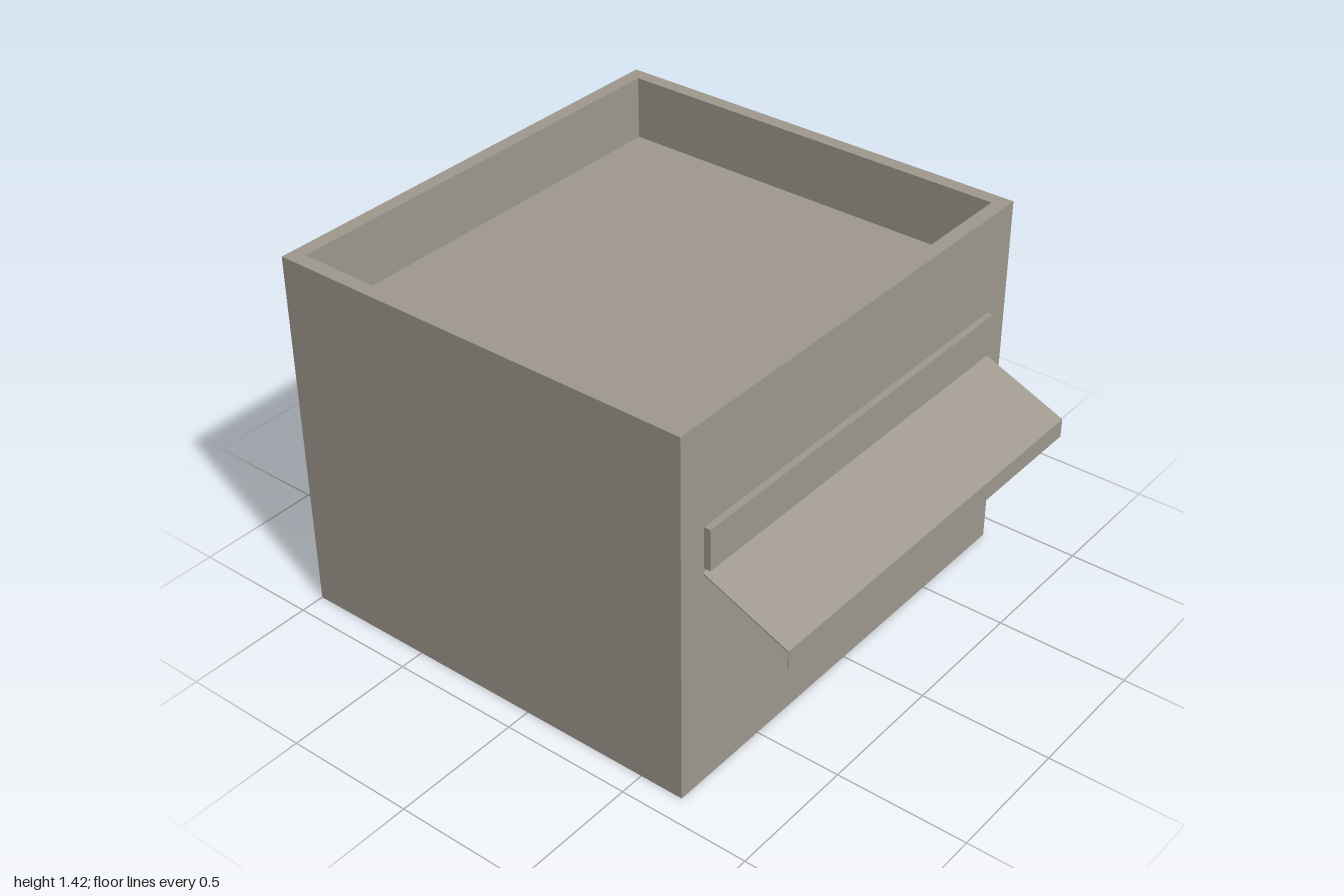
import * as THREE from 'three';

const W = 1.81, H = 1.42, BACK = -1, FRONT = 0.67, RIM = 0.054, FLOOR = 1.175;

export function createModel() {
  const model = new THREE.Group();
  model.name = 'kiosk';
  const concrete = new THREE.MeshStandardMaterial({ color: 0x9f998f, side: THREE.DoubleSide });
  concrete.name = 'warm grey';

  const add = (name, geometry, x = 0, y = 0, z = 0, parent = model) => {
    const mesh = new THREE.Mesh(geometry, concrete);
    mesh.name = name;
    mesh.position.set(x, y, z);
    parent.add(mesh);
    return mesh;
  };

  // Four thin walls around a rectangle, facing outward (or inward with flip)
  const walls = (name, w, d, y0, y1, flip) => {
    const group = new THREE.Group();
    group.name = name;
    group.position.set(0, (y0 + y1) / 2, (BACK + FRONT) / 2);
    for (let i = 0; i < 4; i++) {
      const side = i % 2 === 1;
      const angle = (i * Math.PI) / 2;
      const r = (side ? w : d) / 2;
      const wall = add(name + 'Side', new THREE.PlaneGeometry(side ? d : w, y1 - y0),
        Math.sin(angle) * r, 0, Math.cos(angle) * r, group);
      wall.rotation.y = angle + (flip ? Math.PI : 0);
    }
    model.add(group);
  };

  const D = FRONT - BACK, midZ = (FRONT + BACK) / 2;
  const innerW = W - 2 * RIM, innerD = D - 2 * RIM;

  // Hollow body, open at the bottom, and the sunken roof
  walls('outerWall', W, D, 0, H, false);
  walls('parapetInside', innerW, innerD, FLOOR, H, true);
  add('roofFloor', new THREE.PlaneGeometry(innerW, innerD).rotateX(-Math.PI / 2), 0, FLOOR, midZ);

  // Flat rim on top of the parapet
  const rectangle = (path, w, d) => path.moveTo(-w / 2, -d / 2).lineTo(w / 2, -d / 2)
    .lineTo(w / 2, d / 2).lineTo(-w / 2, d / 2).closePath();
  const rim = rectangle(new THREE.Shape(), W, D);
  rim.holes.push(rectangle(new THREE.Path(), innerW, innerD));
  add('parapetRim', new THREE.ShapeGeometry(rim).rotateX(-Math.PI / 2), 0, H, midZ);

  // Raised panel above the awning
  add('frontPanel', new THREE.BoxGeometry(1.585, 0.157, 0.025), 0, 0.953, FRONT + 0.0125);

  // Sloping awning with a hanging lip: side profile (z, y) swept along x
  const t = 0.005;
  const profile = new THREE.Shape([
    [FRONT, 0.86], [1, 0.72], [1, 0.647], [1 - t / 2, 0.647],
    [1 - t / 2, 0.72 - t], [FRONT, 0.86 - t],
  ].map(([z, y]) => new THREE.Vector2(z, y)));
  const awning = new THREE.ExtrudeGeometry(profile, { depth: 1.596, bevelEnabled: false });
  awning.translate(0, 0, -0.798).rotateY(-Math.PI / 2);
  add('awning', awning);

  return model;
}
